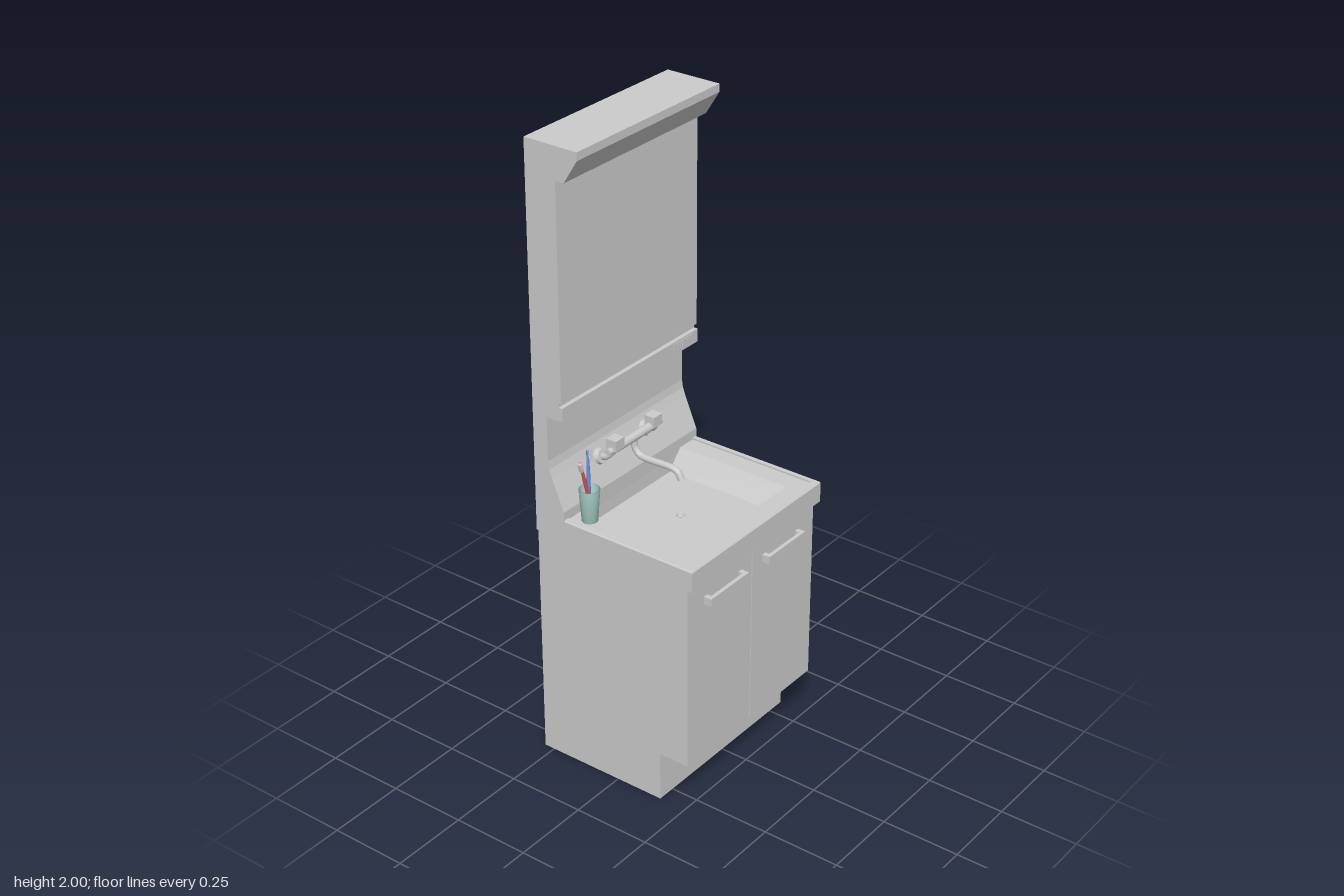
import * as THREE from 'three';

const grey = new THREE.MeshStandardMaterial({ color: 0xcccccc });
const paint = (color) => new THREE.MeshStandardMaterial({ color });
const V = (x, y, z) => new THREE.Vector3(x, y, z);

function add(parent, name, geometry, material = grey) {
  const mesh = new THREE.Mesh(geometry, material);
  mesh.name = name;
  parent.add(mesh);
  return mesh;
}

// Box given by its limits on each axis
function box(x0, x1, y0, y1, z0, z1) {
  return new THREE.BoxGeometry(x1 - x0, y1 - y0, z1 - z0)
    .translate((x0 + x1) / 2, (y0 + y1) / 2, (z0 + z1) / 2);
}

// Side profile of [z, y] points, extruded across x
function acrossX(points, width) {
  const shape = new THREE.Shape(points.map(([z, y]) => new THREE.Vector2(z, y)));
  return new THREE.ExtrudeGeometry(shape, { depth: width, bevelEnabled: false })
    .rotateY(-Math.PI / 2).translate(width / 2, 0, 0);
}

// Round rod between two points
function rod(a, b, r0, r1 = r0, sides = 20) {
  const d = b.clone().sub(a);
  const g = new THREE.CylinderGeometry(r1, r0, d.length(), sides);
  g.applyQuaternion(new THREE.Quaternion().setFromUnitVectors(V(0, 1, 0), d.normalize()));
  const mid = a.clone().add(b).multiplyScalar(0.5);
  return g.translate(mid.x, mid.y, mid.z);
}

// Skin over rectangular rings [halfWidth, zFront, zBack, y], closed at the last one
function rectLoft(rings) {
  const pos = [], index = [];
  rings.forEach(([w, f, b, y]) => pos.push(-w, y, f, w, y, f, w, y, b, -w, y, b));
  for (let i = 0; i < rings.length - 1; i++) {
    for (let j = 0; j < 4; j++) {
      const a = i * 4 + j, c = i * 4 + (j + 1) % 4;
      index.push(a, c, c + 4, a, c + 4, a + 4);
    }
  }
  const e = (rings.length - 1) * 4;
  index.push(e, e + 1, e + 2, e, e + 2, e + 3);
  const g = new THREE.BufferGeometry();
  g.setAttribute('position', new THREE.Float32BufferAttribute(pos, 3));
  g.setIndex(index);
  const flat = g.toNonIndexed();
  flat.computeVertexNormals();
  return flat;
}

function buildCabinet() {
  const cabinet = new THREE.Group();
  cabinet.name = 'cabinet';
  const back = -0.285;
  add(cabinet, 'cabinetBody', acrossX(
    [[back, 0], [0.16, 0], [0.16, 0.163], [0.245, 0.163], [0.245, 0.775], [back, 0.775]], 0.62));
  for (const s of [-1, 1]) {
    const [x0, x1] = s < 0 ? [-0.31, -0.002] : [0.002, 0.31];
    add(cabinet, 'door', box(x0, x1, 0.163, 0.775, 0.245, 0.26));
    // Bar handle on two posts
    const handle = new THREE.Group();
    handle.name = 'doorHandle';
    const c = s * 0.142;
    add(handle, 'handleBar', box(c - 0.091, c + 0.091, 0.688, 0.713, 0.274, 0.286));
    for (const e of [-1, 1]) {
      const p = c + e * 0.083;
      add(handle, 'handlePost', box(p - 0.008, p + 0.008, 0.688, 0.713, 0.258, 0.276));
    }
    cabinet.add(handle);
  }
  return cabinet;
}

function buildBasin() {
  const basin = new THREE.Group();
  basin.name = 'basin';
  // Underside, outer skirt, raised rim, counter surface, bowl
  add(basin, 'counterAndBowl', rectLoft([
    [0.29, 0.24, -0.28, 0.775],
    [0.316, 0.28, -0.286, 0.775],
    [0.316, 0.28, -0.286, 0.839],
    [0.312, 0.276, -0.282, 0.844],
    [0.297, 0.26, -0.19, 0.844],
    [0.297, 0.26, -0.19, 0.839],
    [0.235, 0.212, -0.182, 0.839],
    [0.183, 0.173, -0.18, 0.777],
  ]));
  const ring = add(basin, 'drainRing', new THREE.TorusGeometry(0.012, 0.002, 8, 32).rotateX(Math.PI / 2));
  ring.position.set(0, 0.778, 0);
  add(basin, 'drainPlug', rod(V(0, 0.776, 0), V(0, 0.779, 0), 0.009));
  return basin;
}

function buildUpperUnit() {
  const upper = new THREE.Group();
  upper.name = 'upperUnit';
  const back = -0.286, w = 0.632;
  add(upper, 'splashBack', acrossX([[back, 0.82], [-0.18, 0.82], [-0.18, 0.87], [-0.222, 0.97],
    [-0.231, 0.995], [-0.235, 1.02], [-0.235, 1.165], [back, 1.165]], w));
  add(upper, 'mirrorCabinet', acrossX([[back, 1.165], [-0.19, 1.165], [-0.19, 1.9], [back, 1.9]], w));
  add(upper, 'mirror', box(-0.316, 0.316, 1.225, 1.9, -0.19, -0.18));
  add(upper, 'ledge', box(-0.316, 0.316, 1.168, 1.21, -0.19, -0.176));
  // Socket and switch plate on the ledge
  add(upper, 'socketPlate', box(0.195, 0.29, 1.174, 1.204, -0.178, -0.174));
  for (const x of [0.222, 0.243, 0.264]) {
    add(upper, 'socketButton', box(x - 0.007, x + 0.007, 1.182, 1.196, -0.175, -0.173));
  }
  add(upper, 'lampHood', acrossX(
    [[back, 1.9], [-0.15, 1.9], [-0.103, 1.975], [-0.103, 2], [back, 2]], w));
  return upper;
}

function buildTap() {
  const tap = new THREE.Group();
  tap.name = 'tap';
  add(tap, 'mixerBody', rod(V(-0.095, 0.985, -0.17), V(0.095, 0.985, -0.17), 0.014));
  for (const s of [-1, 1]) {
    // Wall flange tilted with the splash back
    add(tap, 'wallFlange', rod(V(s * 0.108, 0.95, -0.222), V(s * 0.108, 0.956, -0.202), 0.028, 0.022, 28));
    const crank = new THREE.CatmullRomCurve3([V(s * 0.108, 0.953, -0.212), V(s * 0.108, 0.96, -0.19),
      V(s * 0.1, 0.975, -0.175), V(s * 0.085, 0.985, -0.17)]);
    add(tap, 'crankPipe', new THREE.TubeGeometry(crank, 16, 0.011, 14));
    add(tap, 'knobCollar', rod(V(s * 0.095, 0.985, -0.17), V(s * 0.125, 0.985, -0.17), 0.012, 0.01));
    add(tap, 'lever', box(s * 0.09 - 0.02, s * 0.09 + 0.02, 0.985, 1.02, -0.188, -0.152));
  }
  const spout = new THREE.CatmullRomCurve3([V(0, 0.985, -0.17), V(0, 0.95, -0.168), V(0, 0.929, -0.15),
    V(0, 0.925, -0.12), V(0, 0.926, -0.03), V(0, 0.919, -0.01), V(0, 0.9, 0.002)]);
  add(tap, 'spout', new THREE.TubeGeometry(spout, 48, 0.0105, 16));
  add(tap, 'spoutTip', rod(V(0, 0.898, 0.003), V(0, 0.91, -0.003), 0.011));
  return tap;
}

function buildCup() {
  const cup = new THREE.Group();
  cup.name = 'toothbrushCup';
  const profile = [[0, 0], [0.024, 0], [0.0315, 0.105], [0.029, 0.105], [0.022, 0.005], [0, 0.005]]
    .map(([r, y]) => new THREE.Vector2(r, y));
  const body = add(cup, 'cup', new THREE.LatheGeometry(profile, 32), paint(0xa9cfc8));
  body.material.side = THREE.DoubleSide;
  body.position.set(-0.264, 0.84, -0.127);

  const brush = (color, from, to, bristleSide) => {
    const g = new THREE.Group();
    g.name = 'toothbrush';
    const mat = paint(color);
    const neck = from.clone().lerp(to, 0.72);
    add(g, 'brushHandle', rod(from, neck, 0.006, 0.0055, 12), mat);
    add(g, 'brushNeck', rod(neck, to, 0.005, 0.004, 12), mat);
    const bristles = add(g, 'bristles', new THREE.BoxGeometry(0.011, 0.026, 0.01));
    bristles.quaternion.setFromUnitVectors(V(0, 1, 0), to.clone().sub(from).normalize());
    bristles.position.copy(from).lerp(to, 0.93).add(V(bristleSide * 0.005, 0, 0.003));
    cup.add(g);
  };
  brush(0xd9534f, V(-0.254, 0.85, -0.122), V(-0.301, 1.045, -0.128), -1);
  brush(0x5b7fc4, V(-0.275, 0.85, -0.118), V(-0.219, 1.036, -0.168), 1);
  return cup;
}

export function createModel() {
  const model = new THREE.Group();
  model.name = 'washstand';
  model.add(buildCabinet(), buildBasin(), buildUpperUnit(), buildTap(), buildCup());
  return model;
}
